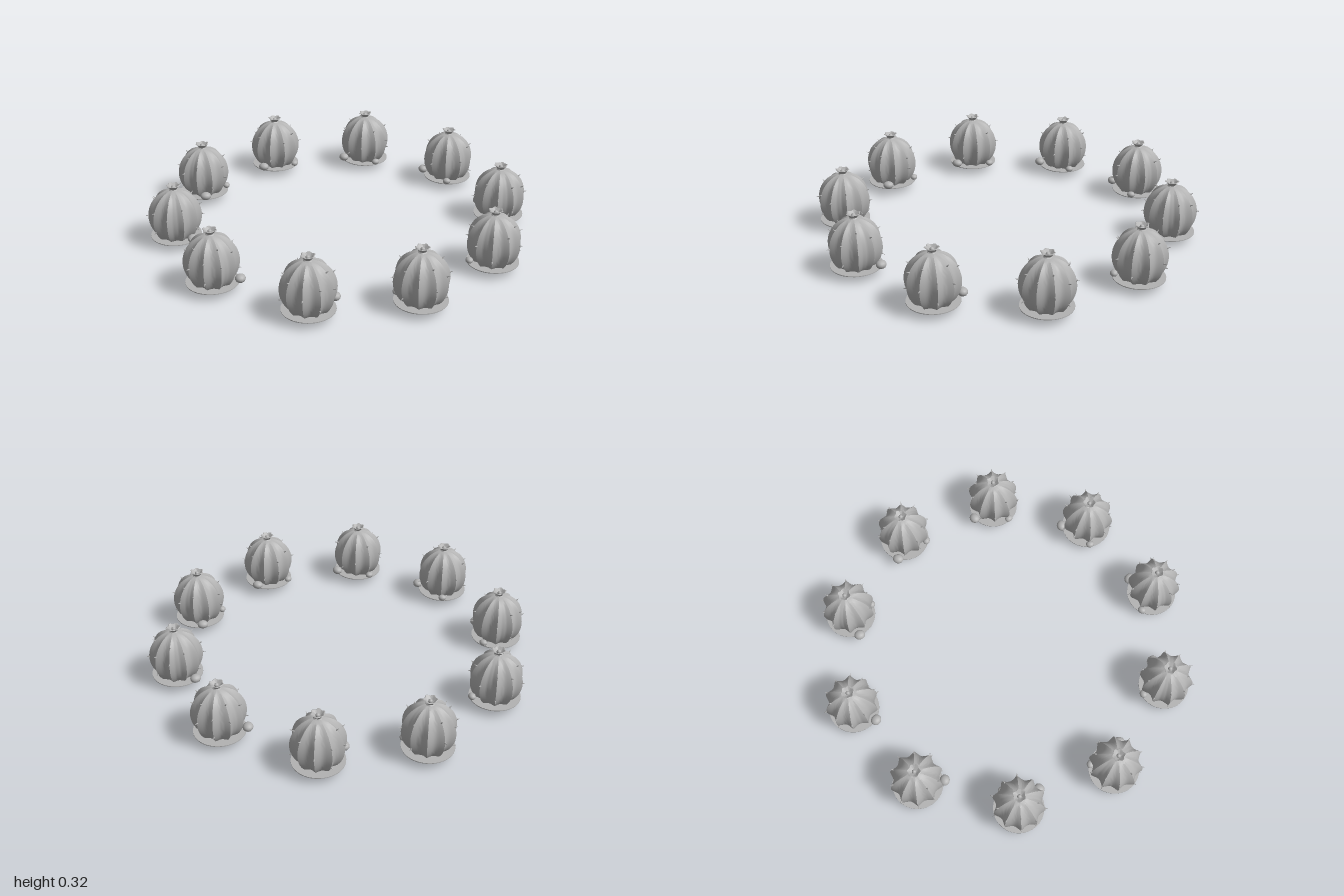
import * as THREE from 'three';
import { toCreasedNormals } from 'three/addons/utils/BufferGeometryUtils.js';

const RIBS = 10, RADIUS = 0.136, HALF = 0.148, MID = 0.148;
const stone = new THREE.MeshStandardMaterial({ color: 0xb2b2b2 });
stone.name = 'plain grey';

function mesh(name, geometry, x = 0, y = 0, z = 0) {
  const m = new THREE.Mesh(geometry, stone);
  m.name = name;
  m.position.set(x, y, z);
  return m;
}

// Move every vertex by a rule
function reshape(geometry, rule) {
  const p = geometry.attributes.position;
  const v = new THREE.Vector3();
  for (let i = 0; i < p.count; i++) {
    rule(v.fromBufferAttribute(p, i));
    p.setXYZ(i, v.x, v.y, v.z);
  }
  return geometry;
}

// Round body: sharp ridges with rounded valleys between them
function bodyGeometry() {
  const g = reshape(new THREE.SphereGeometry(1, RIBS * 8, 26), (v) => {
    const a = Math.atan2(v.z, v.x);
    const r = RADIUS * (1 - 0.16 * Math.abs(Math.sin(a * RIBS / 2)));
    v.set(v.x * r, v.y * HALF, v.z * r);
  });
  return toCreasedNormals(g, 0.6);
}

// Flared flower with a wavy, petalled rim
function flowerGeometry() {
  const profile = [[0.028, 0.286], [0.018, 0.298], [0.024, 0.309], [0.034, 0.319],
    [0.03, 0.321], [0.02, 0.312], [0.012, 0.304], [0, 0.303]]
    .map(([x, y]) => new THREE.Vector2(x, y));
  const g = reshape(new THREE.LatheGeometry(profile, 30), (v) => {
    const k = Math.max(0, (v.y - 0.3) / 0.02);
    const wave = Math.cos(6 * Math.atan2(v.z, v.x));
    const s = 1 + 0.1 * k * wave;
    v.set(v.x * s, v.y - 0.003 * k * (1 - wave) * 0.5, v.z * s);
  });
  return toCreasedNormals(g, 0.7);
}

const bodyGeo = bodyGeometry();
const flowerGeo = flowerGeometry();
const budGeo = new THREE.SphereGeometry(0.011, 12, 8);
const discGeo = new THREE.CylinderGeometry(0.13, 0.13, 0.004, 40);
const spineGeo = new THREE.ConeGeometry(0.005, 0.02, 6);
const pebbleGeo = new THREE.SphereGeometry(1, 14, 10);

// Spine heights, as latitudes in radians, rib by rib
const SPINES = [[0.05, 0.75], [0.5], [-0.35, 0.6], [0.15], [0.65], [0, 0.4], [-0.3], [0.55], [0.2, 0.8], [-0.4, 0.35]];

function createCactus() {
  const cactus = new THREE.Group();
  cactus.add(mesh('ribbedBody', bodyGeo, 0, MID, 0));
  cactus.add(mesh('flower', flowerGeo));
  cactus.add(mesh('flowerBud', budGeo, 0, 0.307, 0));
  cactus.add(mesh('groundDisc', discGeo, 0, 0.04, 0));

  // Spines stand on the ridges
  const up = new THREE.Vector3(0, 1, 0);
  SPINES.forEach((lats, i) => {
    const a = i * Math.PI * 2 / RIBS;
    for (const lat of lats) {
      const out = new THREE.Vector3(Math.cos(lat) * Math.cos(a), Math.sin(lat), Math.cos(lat) * Math.sin(a));
      const s = mesh('spine', spineGeo, out.x * (RADIUS + 0.005), MID + out.y * (HALF + 0.005), out.z * (RADIUS + 0.005));
      s.quaternion.setFromUnitVectors(up, out);
      cactus.add(s);
    }
  });

  // A large and a small pebble lie beside the body
  for (const [deg, dist, y, sx, sy, sz] of [[233, 0.138, 0.066, 0.026, 0.021, 0.029], [140, 0.122, 0.055, 0.019, 0.016, 0.022]]) {
    const a = THREE.MathUtils.degToRad(deg);
    const p = mesh('pebble', pebbleGeo, dist * Math.cos(a), y, dist * Math.sin(a));
    p.scale.set(sx, sy, sz);
    p.rotation.y = -a;
    cactus.add(p);
  }
  return cactus;
}

export function createModel() {
  const model = new THREE.Group();
  model.name = 'cactusRing';
  // Ten equal cacti, each turned with its place in the ring
  for (let i = 0; i < 10; i++) {
    const a = THREE.MathUtils.degToRad(36 * i - 0.4);
    const cactus = createCactus();
    cactus.name = 'cactus' + (i + 1);
    cactus.position.set(0.853 * Math.cos(a) - 0.004, 0, 0.853 * Math.sin(a) - 0.004);
    cactus.rotation.y = -a;
    model.add(cactus);
  }
  return model;
}
